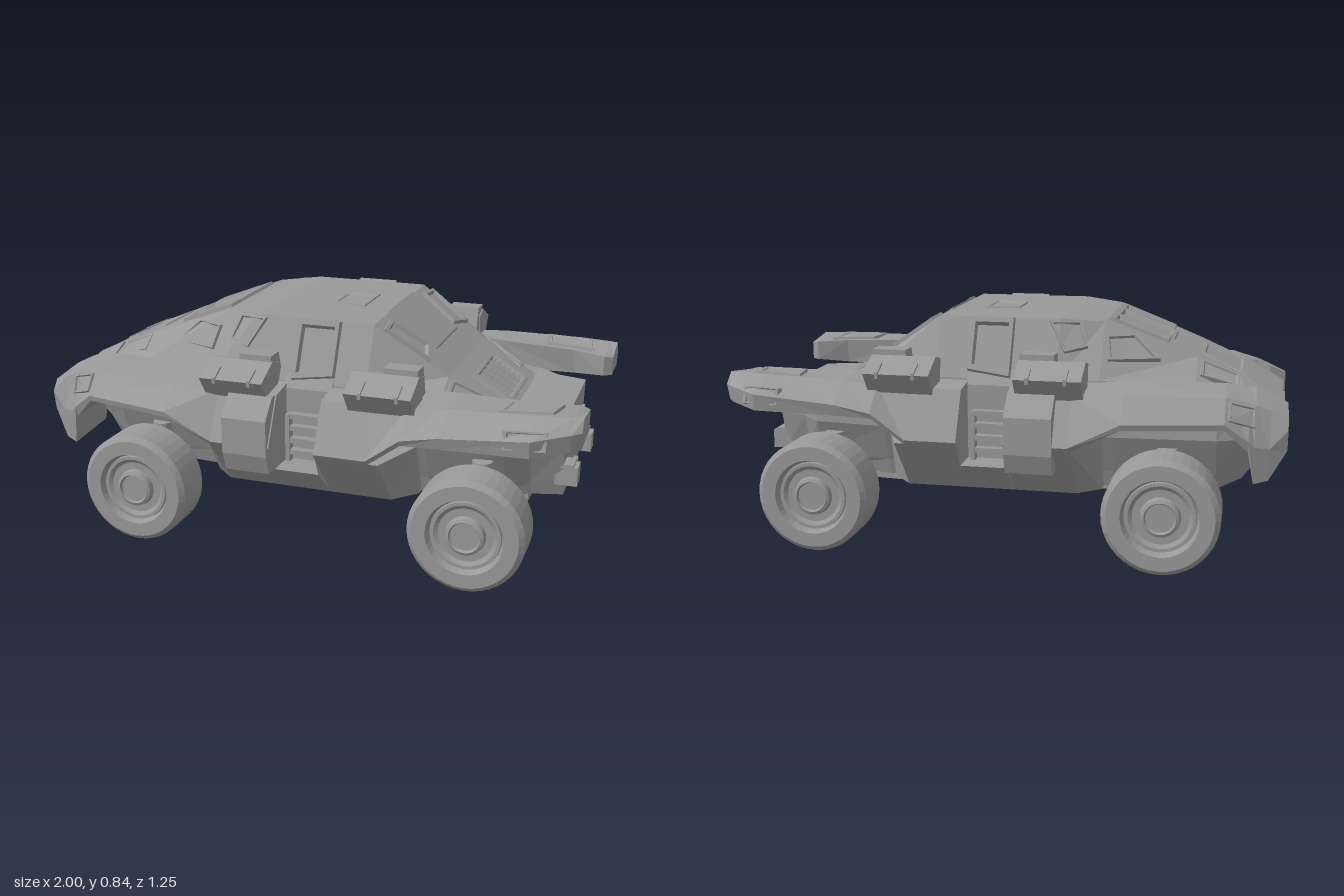
import * as THREE from 'three';

const V = (x, y, z) => new THREE.Vector3(x, y, z);
const mat = new THREE.MeshStandardMaterial({ color: 0x999999, flatShading: true });

// Closed solid through rings of 3D points; winding is chosen so the volume is positive
function loft(rings) {
  const tris = [], n = rings[0].length;
  const mean = r => r.reduce((a, p) => a.add(p), V(0, 0, 0)).divideScalar(n);
  for (let i = 0; i < rings.length - 1; i++) {
    const a = rings[i], b = rings[i + 1];
    for (let j = 0; j < n; j++) {
      const k = (j + 1) % n;
      tris.push([a[j], a[k], b[k]], [a[j], b[k], b[j]]);
    }
  }
  const first = rings[0], last = rings[rings.length - 1], c0 = mean(first), c1 = mean(last);
  for (let j = 0; j < n; j++) {
    const k = (j + 1) % n;
    tris.push([c0, first[k], first[j]], [c1, last[j], last[k]]);
  }
  let vol = 0;
  for (const [a, b, c] of tris) vol += a.clone().sub(c0).dot(b.clone().sub(c0).cross(c.clone().sub(c0)));
  const pts = tris.flatMap(t => (vol < 0 ? [t[0], t[2], t[1]] : t));
  const g = new THREE.BufferGeometry().setFromPoints(pts);
  g.computeVertexNormals();
  return g;
}

// Stations [x, [[z, y], ...]]: one side, or a half profile mirrored into a full ring
const sideRings = (st, s) => st.map(([x, p]) => p.map(([z, y]) => V(x, y, z * s)));
const fullRings = st => st.map(([x, p]) => [
  ...p.map(([z, y]) => V(x, y, z)), ...[...p].reverse().map(([z, y]) => V(x, y, -z))]);

// Cabin stations: base, shoulder, roof edge
const CABIN = [
  [-0.98, [[0.25, 0.46], [0.22, 0.53], [0.10, 0.555]]],
  [-0.85, [[0.32, 0.50], [0.30, 0.575], [0.17, 0.615]]],
  [-0.68, [[0.35, 0.53], [0.33, 0.60], [0.21, 0.69]]],
  [-0.35, [[0.41, 0.53], [0.40, 0.625], [0.27, 0.815]]],
  [-0.20, [[0.43, 0.50], [0.42, 0.62], [0.325, 0.828]]],
  [0.24, [[0.43, 0.50], [0.42, 0.62], [0.325, 0.828]]],
  [0.50, [[0.40, 0.50], [0.38, 0.61], [0.28, 0.65]]],
  [0.72, [[0.30, 0.48], [0.27, 0.515], [0.18, 0.52]]],
];
// Point on the cabin flank: t = 0 at the shoulder, 1 at the roof edge
function flank(x, t, s) {
  let i = 0;
  while (i < CABIN.length - 2 && x > CABIN[i + 1][0]) i++;
  const [x0, a] = CABIN[i], [x1, b] = CABIN[i + 1], u = (x - x0) / (x1 - x0), L = THREE.MathUtils.lerp;
  const at = k => L(L(a[1][k], a[2][k], t), L(b[1][k], b[2][k], t), u);
  return V(x, at(1), at(0) * s);
}
const roof = (x, z) => V(x, flank(x, 1, 1).y, z);

// Raised frame with a recessed pane on a four-cornered patch
function frame(c, h = 0.012, inset = 0.15) {
  const n = c[2].clone().sub(c[0]).cross(c[3].clone().sub(c[1])).normalize();
  if (n.y < 0 || (Math.abs(n.y) < 0.02 && n.z * c[0].z < 0)) n.negate();
  const mid = c.reduce((a, p) => a.add(p), V(0, 0, 0)).divideScalar(4);
  const off = (k, d) => c.map(p => p.clone().lerp(mid, k).addScaledVector(n, d));
  return loft([off(-0.04, -0.012), off(0.02, h), off(inset, h), off(inset + 0.07, 0.001)]);
}

export function createModel() {
  const model = new THREE.Group();
  const add = (name, geo, parent = model) => {
    const m = new THREE.Mesh(geo, mat);
    m.name = name;
    parent.add(m);
    return m;
  };
  const box = (name, x0, x1, y0, y1, z0, z1) => {
    const m = add(name, new THREE.BoxGeometry(x1 - x0, y1 - y0, Math.abs(z1 - z0)));
    m.position.set((x0 + x1) / 2, (y0 + y1) / 2, (z0 + z1) / 2);
  };

  // Hull core (narrowing to the tail), cabin and belly
  add('hull', loft(fullRings([
    [-0.98, [[0.18, 0.42], [0.25, 0.44], [0.27, 0.46], [0.24, 0.53]]],
    [-0.85, [[0.22, 0.25], [0.30, 0.36], [0.33, 0.42], [0.31, 0.55]]],
    [-0.76, [[0.28, 0.22], [0.31, 0.28], [0.37, 0.42], [0.36, 0.57]]],
    [-0.40, [[0.31, 0.22], [0.33, 0.28], [0.39, 0.42], [0.39, 0.58]]],
    [0.45, [[0.31, 0.22], [0.33, 0.28], [0.39, 0.42], [0.39, 0.56]]],
    [0.72, [[0.25, 0.22], [0.29, 0.28], [0.36, 0.42], [0.36, 0.52]]],
    [0.80, [[0.21, 0.22], [0.23, 0.28], [0.28, 0.42], [0.29, 0.52]]],
    [0.91, [[0.18, 0.22], [0.20, 0.28], [0.24, 0.42], [0.26, 0.52]]],
  ])));
  add('cabin', loft(fullRings(CABIN)));
  add('bellyPlate', loft(fullRings([
    [-0.40, [[0.155, 0.167], [0.155, 0.24]]],
    [-0.25, [[0.155, 0.15], [0.155, 0.24]]],
    [0.46, [[0.155, 0.15], [0.155, 0.24]]],
    [0.78, [[0.155, 0.16], [0.155, 0.24]]],
  ])));
  box('bellyStep', -0.36, 0.74, 0.19, 0.235, -0.19, 0.19);
  add('rearSkid', loft(fullRings([
    [0.88, [[0.095, 0.225], [0.065, 0.285]]], [0.925, [[0.095, 0.225], [0.07, 0.275]]]])));

  // Windscreen, hood panel and roof hatch
  const top = (name, x0, x1, z0, z1, taper = 0, h) =>
    add(name, frame([roof(x0, z0), roof(x1, z0 - taper), roof(x1, z1 + taper), roof(x0, z1)], h));
  top('centreWindscreen', -0.585, -0.36, -0.085, 0.085, 0, 0.012);
  top('hoodPanel', -0.845, -0.685, -0.15, 0.15, -0.03, 0.006);
  top('roofHatch', 0.0, 0.13, -0.08, 0.08, 0.02, 0.005);
  top('rearVent', 0.555, 0.70, -0.155, 0.155, 0, 0.014);
  add('rearSpine', loft([0.008, -0.02].map(h =>
    [roof(0.24, -0.16), roof(0.24, 0.16), roof(0.42, 0.155), roof(0.42, -0.155)]
      .map(p => p.add(V(0, h, 0))))));

  // Vent slats
  for (let i = 0; i < 6; i++) {
    const slat = add('ventSlat', new THREE.BoxGeometry(0.009, 0.022, 0.25));
    slat.position.copy(roof(0.58 + i * 0.019, 0));
    slat.rotation.z = -0.53;
  }
  for (const z of [-0.06, 0, 0.06]) {
    const bar = add('ventDivider', new THREE.BoxGeometry(0.14, 0.024, 0.006));
    bar.position.copy(roof(0.627, z));
    bar.rotation.z = -0.53;
  }

  for (const s of [1, -1]) {
    // Front fender: drooping nose, then a high arch over the wheel
    add('frontFender', loft(sideRings([
      [-1.00, [[0.30, 0.44], [0.45, 0.42], [0.46, 0.49], [0.43, 0.53], [0.28, 0.55]]],
      [-0.94, [[0.28, 0.34], [0.48, 0.32], [0.485, 0.43], [0.45, 0.555], [0.26, 0.58]]],
      [-0.89, [[0.28, 0.33], [0.50, 0.31], [0.51, 0.44], [0.46, 0.575], [0.27, 0.60]]],
      [-0.87, [[0.28, 0.43], [0.51, 0.42], [0.52, 0.46], [0.46, 0.58], [0.27, 0.60]]],
      [-0.79, [[0.29, 0.505], [0.54, 0.50], [0.545, 0.52], [0.48, 0.60], [0.30, 0.615]]],
      [-0.45, [[0.33, 0.505], [0.61, 0.50], [0.615, 0.52], [0.53, 0.60], [0.36, 0.625]]],
      [-0.27, [[0.33, 0.41], [0.60, 0.41], [0.615, 0.43], [0.53, 0.60], [0.36, 0.625]]],
      [-0.05, [[0.33, 0.41], [0.60, 0.41], [0.615, 0.43], [0.53, 0.60], [0.36, 0.625]]],
    ], s)));
    // Rear fender: high arch running into an overhanging fin
    add('rearFender', loft(sideRings([
      [0.115, [[0.33, 0.41], [0.60, 0.41], [0.615, 0.43], [0.53, 0.60], [0.36, 0.62]]],
      [0.30, [[0.33, 0.41], [0.60, 0.41], [0.615, 0.43], [0.53, 0.60], [0.36, 0.62]]],
      [0.42, [[0.34, 0.505], [0.61, 0.50], [0.62, 0.52], [0.53, 0.605], [0.36, 0.62]]],
      [0.55, [[0.35, 0.51], [0.61, 0.505], [0.62, 0.545], [0.52, 0.615], [0.35, 0.62]]],
      [0.85, [[0.35, 0.515], [0.61, 0.51], [0.62, 0.57], [0.50, 0.62], [0.34, 0.61]]],
      [0.97, [[0.30, 0.53], [0.53, 0.52], [0.54, 0.58], [0.48, 0.62], [0.30, 0.605]]],
      [1.00, [[0.32, 0.53], [0.49, 0.52], [0.51, 0.58], [0.47, 0.62], [0.32, 0.60]]],
    ], s)));
    // Undercut sill between the wheels, with a step at the door
    const low = [[0.28, 0.22], [0.43, 0.22], [0.60, 0.415], [0.30, 0.415]];
    const step = [[0.28, 0.22], [0.43, 0.22], [0.56, 0.335], [0.30, 0.335]];
    add('sill', loft(sideRings([
      [-0.36, [[0.28, 0.22], [0.36, 0.22], [0.42, 0.42], [0.30, 0.42]]],
      [-0.28, low], [-0.05, low], [-0.049, step], [0.114, step], [0.115, low], [0.34, low],
      [0.42, [[0.28, 0.22], [0.34, 0.22], [0.40, 0.42], [0.30, 0.42]]],
    ], s)));
    const prism = (name, x0, x1, p) => add(name, loft(sideRings([[x0, p], [x1, p]], s)));
    prism('doorPillar', -0.22, -0.055, [[0.45, 0.33], [0.60, 0.33], [0.625, 0.40], [0.625, 0.53], [0.56, 0.60], [0.45, 0.60]]);
    prism('doorWall', -0.06, 0.12, [[0.36, 0.33], [0.44, 0.33], [0.44, 0.60], [0.40, 0.66], [0.34, 0.60]]);

    // Door step ladder and side pods
    for (let i = 0; i < 4; i++)
      box('doorRung', -0.03, 0.095, 0.36 + i * 0.045, 0.378 + i * 0.045, s * 0.43, s * 0.47);
    for (const x of [-0.035, 0.09]) box('doorRail', x - 0.008, x + 0.008, 0.335, 0.51, s * 0.43, s * 0.475);
    for (const x of [-0.315, 0.215]) {
      prism('sidePod', x, x + 0.235, [[0.45, 0.57], [0.53, 0.565], [0.595, 0.655], [0.49, 0.705], [0.43, 0.69]]);
      prism('podMount', x + 0.11, x + 0.23, [[0.38, 0.60], [0.49, 0.60], [0.49, 0.725], [0.42, 0.725]]);
      for (const d of [0.05, 0.18])
        prism('podLatch', x + d, x + d + 0.012, [[0.54, 0.64], [0.597, 0.64], [0.598, 0.662], [0.54, 0.69]]);
    }

    // Windows on the flanks, beside the windscreen and at the rear corners
    const win = (name, q, h, inset) => add(name, frame(q.map(([x, t]) => flank(x, t, s)), h, inset));
    win('frontSideWindow', [[-0.55, 0.58], [-0.37, 0.34], [-0.355, 0.75], [-0.46, 0.96]]);
    win('quarterWindow', [[-0.30, 0.55], [-0.22, 0.45], [-0.16, 0.95], [-0.27, 0.97]]);
    win('doorWindow', [[-0.035, 0.02], [0.12, 0.12], [0.12, 0.98], [-0.035, 0.98]], 0.022, 0.2);
    win('rearFlankPanel', [[0.51, 0.2], [0.66, 0.2], [0.66, 0.85], [0.51, 0.85]], 0.008);
    win('noseFlankPanel', [[-0.83, 0.35], [-0.69, 0.4], [-0.69, 0.92], [-0.83, 0.92]], 0.006);
    top('sideWindscreen', -0.57, -0.36, s * 0.10, s * 0.19, s * 0.012);
    add('rearWindow', frame([roof(0.26, s * 0.22), roof(0.40, s * 0.175), roof(0.43, s * 0.285), roof(0.27, s * 0.32)], 0.014));

    // Lamps and fender panels
    add('noseLamp', loft(sideRings([
      [-0.99, [[0.11, 0.45], [0.24, 0.46], [0.24, 0.53], [0.11, 0.555]]],
      [-0.84, [[0.18, 0.46], [0.28, 0.46], [0.28, 0.59], [0.18, 0.63]]]], s)));
    add('headlamp', frame([V(-0.89, 0.50, s * 0.487), V(-0.80, 0.53, s * 0.528),
      V(-0.80, 0.588, s * 0.485), V(-0.89, 0.565, s * 0.465)], 0.008));
    add('finTopPanel', frame([V(0.74, 0.617, s * 0.38), V(0.92, 0.613, s * 0.35),
      V(0.90, 0.62, s * 0.47), V(0.72, 0.617, s * 0.50)], 0.006));
    add('finSidePanel', frame([V(0.76, 0.53, s * 0.613), V(0.90, 0.53, s * 0.592),
      V(0.90, 0.59, s * 0.57), V(0.76, 0.59, s * 0.592)], 0.008));

    // Tow hooks and tail lugs
    box('towHook', 0.88, 0.96, 0.27, 0.34, s * 0.145, s * 0.215);
    box('towHookCap', 0.90, 0.945, 0.335, 0.35, s * 0.14, s * 0.22);
    box('tailLug', 0.90, 0.92, 0.415, 0.435, s * 0.19, s * 0.215);

    // Wheels with hubs and suspension
    for (const x of [-0.59, 0.65]) {
      const wheel = new THREE.Group();
      wheel.name = 'wheel';
      wheel.position.set(x, 0.203, s * 0.53);
      wheel.rotation.x = s * Math.PI / 2;
      model.add(wheel);
      const lathe = (name, p) => add(name, new THREE.LatheGeometry(p.map(q => new THREE.Vector2(...q)), 40), wheel);
      lathe('tyre', [[0, -0.06], [0.12, -0.06], [0.13, -0.09], [0.185, -0.09], [0.203, -0.072],
        [0.203, 0.07], [0.185, 0.087], [0.135, 0.087], [0.125, 0.06], [0, 0.06]]);
      lathe('rim', [[0.125, 0.05], [0.122, 0.07], [0.11, 0.07], [0.09, 0.055], [0.07, 0.06],
        [0.066, 0.08], [0.055, 0.085], [0.05, 0.075], [0, 0.075]]);
      lathe('hub', [[0, -0.23], [0.04, -0.23], [0.045, -0.21], [0.065, -0.205], [0.07, -0.19],
        [0.07, -0.13], [0.06, -0.115], [0.06, -0.05]]);
      const post = add('suspensionPost', new THREE.CylinderGeometry(0.036, 0.036, 0.25, 16));
      post.position.set(x, 0.26, s * 0.365);
      const collar = add('suspensionCollar', new THREE.CylinderGeometry(0.05, 0.05, 0.03, 16));
      collar.position.set(x, 0.28, s * 0.365);
      for (const d of [-0.07, 0.07]) box('suspensionArm', x + d - 0.02, x + d + 0.02, 0.23, 0.28, s * 0.22, s * 0.38);
      box('armBridge', x - 0.09, x + 0.09, 0.24, 0.27, s * 0.33, s * 0.38);
    }
  }
  return model;
}
